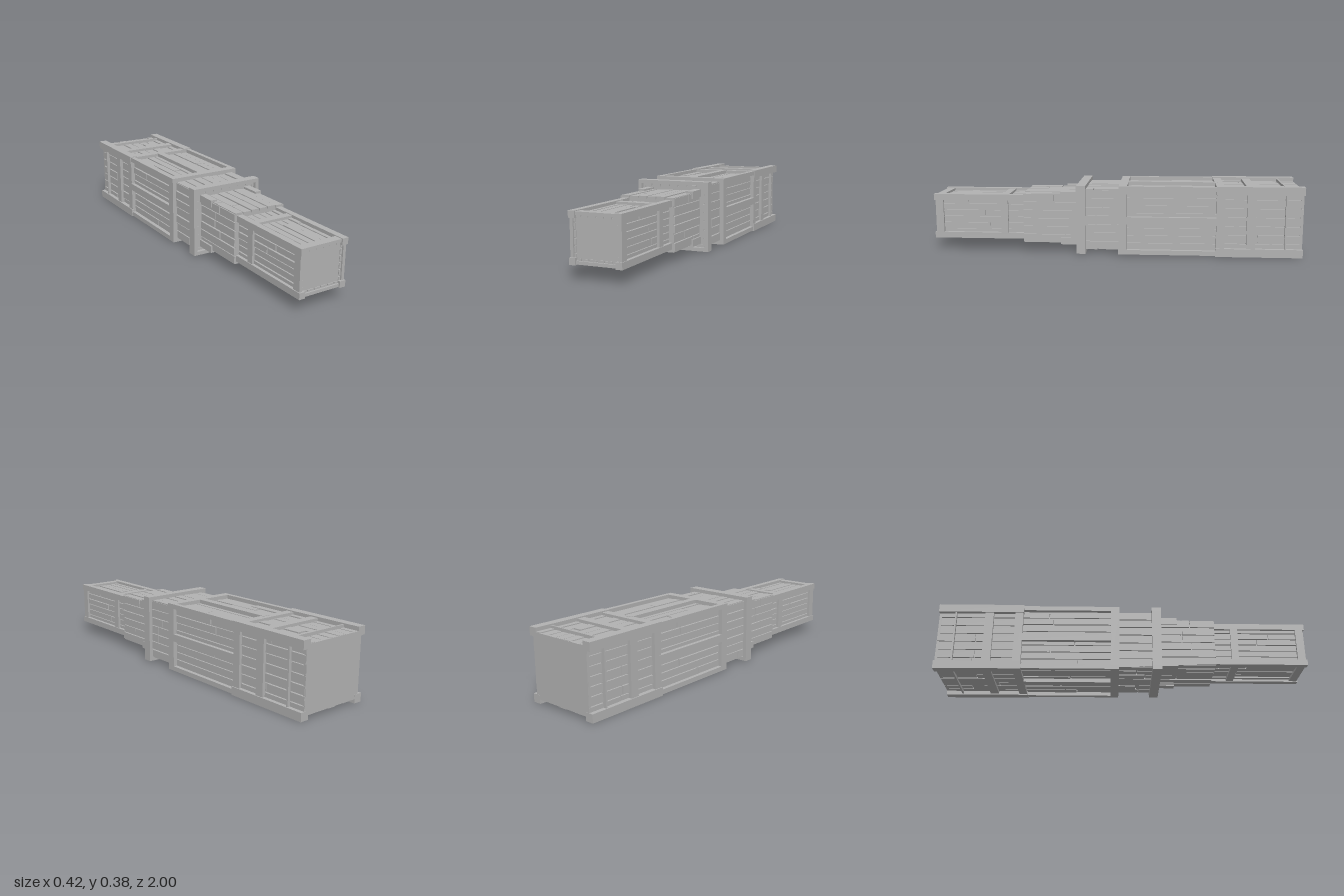
import * as THREE from 'three';

const CY = 0.189; // height of the long axis

export function createModel() {
  const model = new THREE.Group();
  const grey = new THREE.MeshStandardMaterial({ color: 0xb2b2b2 });
  grey.name = 'plain grey';

  let seed = 11;
  const rand = () => (seed = (seed * 16807) % 2147483647) / 2147483647;

  // box given by its limits, with y measured from the axis
  function box(parent, name, x0, x1, y0, y1, z0, z1) {
    const mesh = new THREE.Mesh(new THREE.BoxGeometry(x1 - x0, y1 - y0, z1 - z0), grey);
    mesh.position.set((x0 + x1) / 2, CY + (y0 + y1) / 2, (z0 + z1) / 2);
    mesh.name = name;
    parent.add(mesh);
  }

  // box on one of four sides: u runs across the side, d outward from the axis
  function sideBox(parent, name, side, u0, u1, d0, d1, z0, z1) {
    if (side === 'top') box(parent, name, u0, u1, d0, d1, z0, z1);
    if (side === 'bottom') box(parent, name, u0, u1, -d1, -d0, z0, z1);
    if (side === 'left') box(parent, name, d0, d1, u0, u1, z0, z1);
    if (side === 'right') box(parent, name, -d1, -d0, u0, u1, z0, z1);
  }
  const eachSide = (hx, hy, fn) => {
    for (const s of ['top', 'bottom']) fn(s, hx, hy);
    for (const s of ['left', 'right']) fn(s, hy, hx);
  };

  function group(name) {
    const g = new THREE.Group();
    g.name = name;
    model.add(g);
    return g;
  }

  // solid core clad with uneven lengthwise planks, some cut in two
  function planked(parent, hx, hy, z0, z1, count) {
    const t = 0.012;
    box(parent, 'core', -hx + t, hx - t, -hy + t, hy - t, z0 + 0.002, z1 - 0.004);
    eachSide(hx, hy, (side, half, depth) => {
      const w = (2 * half - 0.008) / count;
      for (let i = 0; i < count; i++) {
        const u = -half + 0.004 + i * w;
        const cut = z0 + (z1 - z0) * (0.3 + 0.4 * rand());
        const spans = rand() < 0.4 ? [[z0, cut - 0.003], [cut + 0.003, z1]] : [[z0, z1]];
        for (const [a, b] of spans) {
          sideBox(parent, 'plank', side, u + 0.003, u + w - 0.003,
            depth - t - 0.004, depth - 0.005 * rand(), a, b);
        }
      }
    });
  }

  // four square rails along the corners
  function rails(parent, name, hx, hy, wx, wy, z0, z1) {
    for (const sx of [-1, 1]) for (const sy of [-1, 1]) {
      const x = sx * (hx - wx / 2), y = sy * (hy - wy / 2);
      box(parent, name, x - wx / 2, x + wx / 2, y - wy / 2, y + wy / 2, z0, z1);
    }
  }

  // band of four bars around the body
  function band(parent, name, hx, hy, t, z0, z1) {
    for (const s of ['top', 'bottom']) sideBox(parent, name, s, -hx, hx, hy - t, hy, z0, z1);
    for (const s of ['left', 'right']) sideBox(parent, name, s, -hy + t, hy - t, hx - t, hx, z0, z1);
  }

  // narrow front crate
  const front = group('frontCrate');
  planked(front, 0.121, 0.109, 0.48, 0.985, 6);
  rails(front, 'cornerRail', 0.135, 0.1225, 0.033, 0.033, 0.48, 1);
  band(front, 'endBar', 0.131, 0.119, 0.016, 0.95, 0.993);
  band(front, 'crossBar', 0.131, 0.119, 0.016, 0.59, 0.63);

  // plain planked sleeve with corner brackets
  const sleeve = group('frontSleeve');
  planked(sleeve, 0.152, 0.138, 0.17, 0.5, 6);
  rails(sleeve, 'cornerBracket', 0.158, 0.145, 0.038, 0.038, 0.17, 0.295);

  // wider sleeve with a collar at its mouth
  const collar = group('middleSleeve');
  planked(collar, 0.185, 0.167, -0.04, 0.19, 7);
  band(collar, 'collar', 0.205, 0.185, 0.02, 0.155, 0.205);

  // long middle crate with a rail along the middle of each side
  const middle = group('middleCrate');
  planked(middle, 0.186, 0.168, -0.56, -0.04, 8);
  rails(middle, 'cornerRail', 0.205, 0.185, 0.025, 0.025, -0.56, -0.03);
  band(middle, 'frontBand', 0.205, 0.185, 0.025, -0.067, -0.022);
  eachSide(0.205, 0.185, (side, half, depth) =>
    sideBox(middle, 'middleRail', side, -0.02, 0.02, depth - 0.025, depth, -0.56, -0.06));

  // heavy rear crate
  const rear = group('rearCrate');
  planked(rear, 0.19, 0.171, -0.997, -0.545, 7);
  rails(rear, 'cornerRail', 0.21, 0.189, 0.046, 0.044, -1, -0.54);
  for (const [a, b] of [[-0.587, -0.543], [-0.75, -0.703], [-0.912, -0.903]]) {
    band(rear, 'crossBar', 0.204, 0.183, 0.03, a, b);
  }
  box(rear, 'backPanel', -0.186, 0.186, -0.167, 0.167, -0.999, -0.985);

  return model;
}
